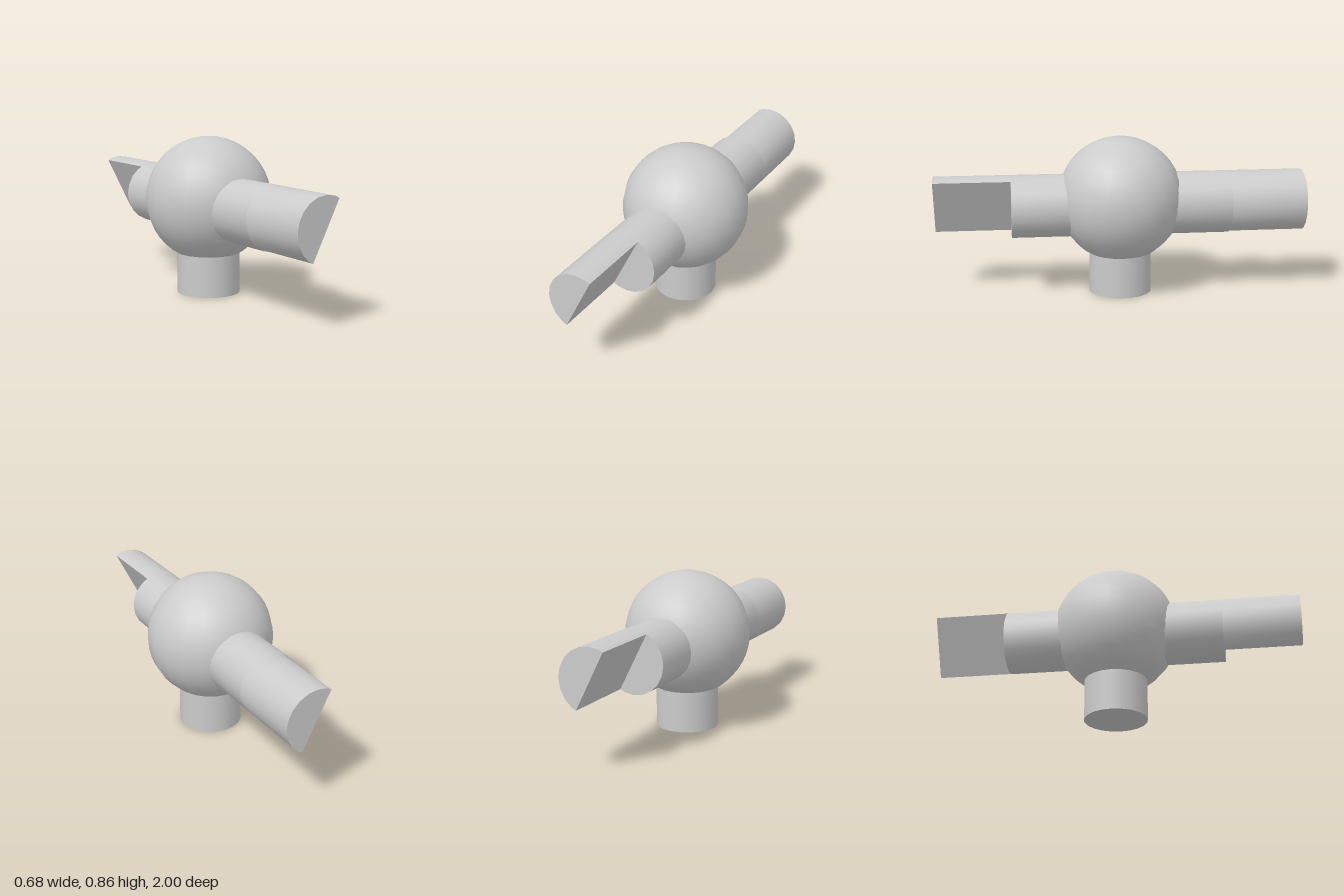
import * as THREE from 'three';
import { toCreasedNormals } from 'three/addons/utils/BufferGeometryUtils.js';

const SIDES = 20, R = 0.17, ROD_Y = 0.486, STEP = (Math.PI * 2) / SIDES;
const material = new THREE.MeshStandardMaterial({ color: 0xcccccc });

function part(name, geometry) {
  const mesh = new THREE.Mesh(geometry, material);
  mesh.name = name;
  return mesh;
}

const polar = (radius, angle) =>
  new THREE.Vector2(radius * Math.cos(angle), radius * Math.sin(angle));

// Prism along z with smooth round sides and sharp end edges
function prism(points, z0, z1) {
  const geometry = new THREE.ExtrudeGeometry(new THREE.Shape(points), {
    depth: z1 - z0, bevelEnabled: false,
  });
  geometry.translate(0, 0, z0);
  return toCreasedNormals(geometry, 0.6);
}

// One arm: a full round rod whose outer end is cut to a half-lap
function arm() {
  const group = new THREE.Group();
  const full = [], half = [];
  for (let i = 0; i < SIDES; i++) full.push(polar(R, i * STEP));

  // The cut plane runs through the middle of two opposite facets
  const inner = R * Math.cos(STEP / 2);
  half.push(polar(inner, 3.5 * STEP));
  for (let i = 4; i <= 13; i++) half.push(polar(R, i * STEP));
  half.push(polar(inner, 13.5 * STEP));

  group.add(part('armRod', prism(full, 0, 0.59)));
  group.add(part('halfLapEnd', prism(half, 0.59, 1)));
  group.position.y = ROD_Y;
  return group;
}

export function createModel() {
  const model = new THREE.Group();
  model.name = 'ballConnector';

  // Central ball
  const ball = part('ball', new THREE.SphereGeometry(0.34, SIDES, 20));
  ball.position.y = 0.515;
  model.add(ball);

  // Stem that the ball stands on
  const stem = part('stem', new THREE.CylinderGeometry(R, R, 0.27, SIDES));
  stem.rotation.y = Math.PI / 2;
  stem.position.y = 0.135;
  model.add(stem);

  // Two arms, the back one turned half round
  ['frontArm', 'backArm'].forEach((name, i) => {
    const a = arm();
    a.name = name;
    a.rotation.y = i * Math.PI;
    model.add(a);
  });

  return model;
}
